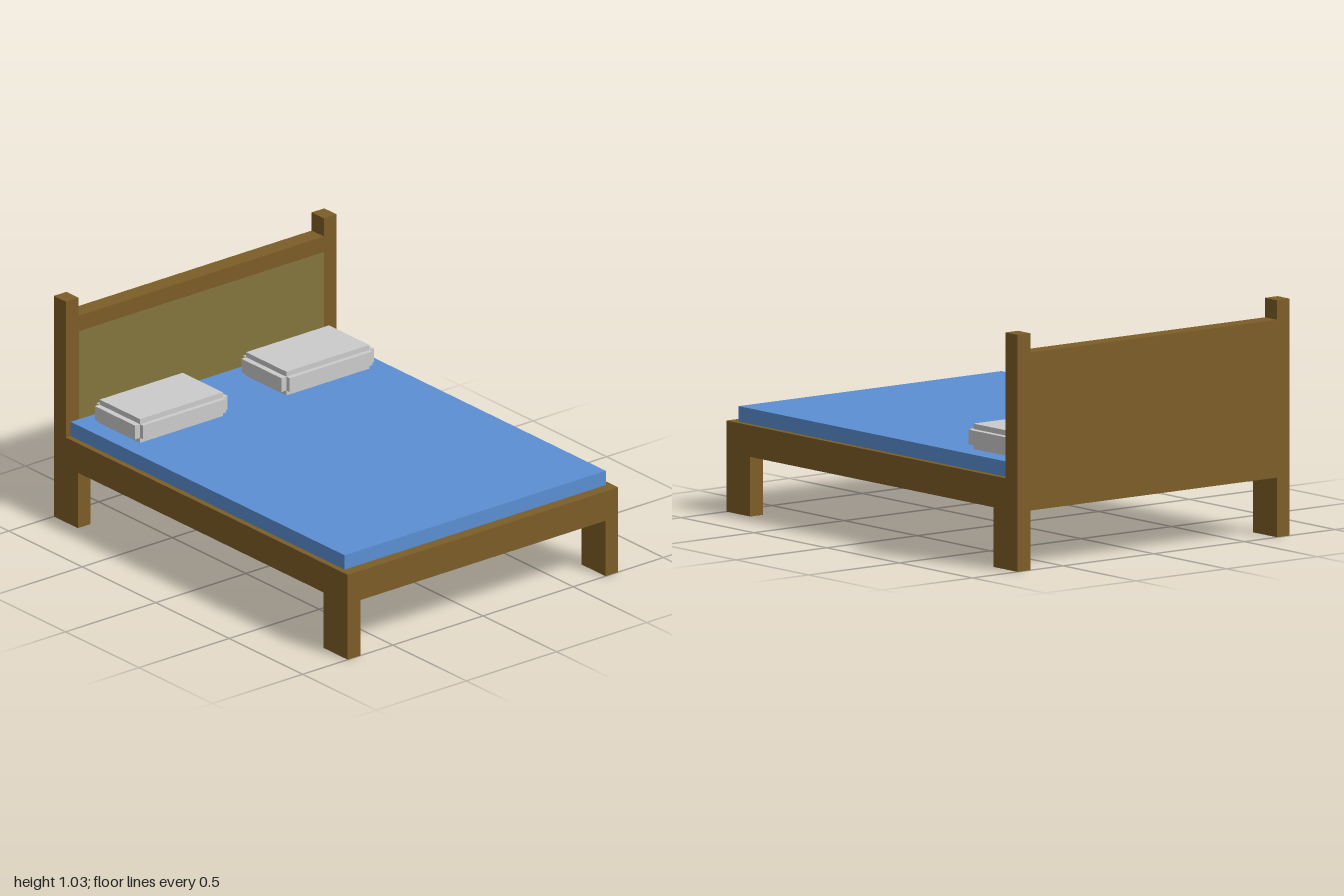
import * as THREE from 'three';

const wood = new THREE.MeshStandardMaterial({ color: 0x7c5d27 });
const olive = new THREE.MeshStandardMaterial({ color: 0x84753d });
const blue = new THREE.MeshStandardMaterial({ color: 0x5b8fd3 });
const grey = new THREE.MeshStandardMaterial({ color: 0xcccccc });

// Box given by its extents along each axis
function box(name, material, [x0, x1], [y0, y1], [z0, z1]) {
  const mesh = new THREE.Mesh(new THREE.BoxGeometry(x1 - x0, y1 - y0, z1 - z0), material);
  mesh.position.set((x0 + x1) / 2, (y0 + y1) / 2, (z0 + z1) / 2);
  mesh.name = name;
  return mesh;
}

// Pillow with stepped edges: three crossing boxes, each full size along one axis
function pillow(name, x, y, z) {
  const group = new THREE.Group();
  group.name = name;
  const full = [0.316, 0.111, 0.513];
  const inner = [0.274, 0.064, 0.46];
  ['pillowLength', 'pillowHeight', 'pillowWidth'].forEach((part, axis) => {
    const size = inner.map((s, i) => (i === axis ? full[i] : s));
    group.add(new THREE.Mesh(new THREE.BoxGeometry(...size), grey));
    group.children[axis].name = part;
  });
  group.position.set(x, y, z);
  return group;
}

export function createModel() {
  const bed = new THREE.Group();
  bed.name = 'bed';

  // Base and mattress
  bed.add(box('bedFrame', wood, [-1, 1], [0.26, 0.397], [-0.75, 0.75]));
  bed.add(box('mattress', blue, [-0.917, 0.947], [0.397, 0.464], [-0.724, 0.724]));

  // Headboard with a coloured panel flush on its inner side
  bed.add(box('headboard', wood, [-1, -0.917], [0.397, 0.948], [-0.68, 0.68]));
  bed.add(box('headboardPanel', olive, [-0.93, -0.9155], [0.4, 0.875], [-0.679, 0.679]));

  // Legs, headboard posts and pillows on both sides
  for (const side of [1, -1]) {
    const label = side > 0 ? 'front' : 'back';
    const depth = side > 0 ? [0.68, 0.75] : [-0.75, -0.68];
    bed.add(box(label + 'HeadLeg', wood, [-1, -0.836], [0, 0.26], depth));
    bed.add(box(label + 'FootLeg', wood, [0.836, 1], [0, 0.26], depth));
    bed.add(box(label + 'HeadboardPost', wood, [-1, -0.917], [0.397, 1.033], depth));
    bed.add(pillow(label + 'Pillow', -0.688, 0.52, side * 0.406 + 0.002));
  }
  return bed;
}
